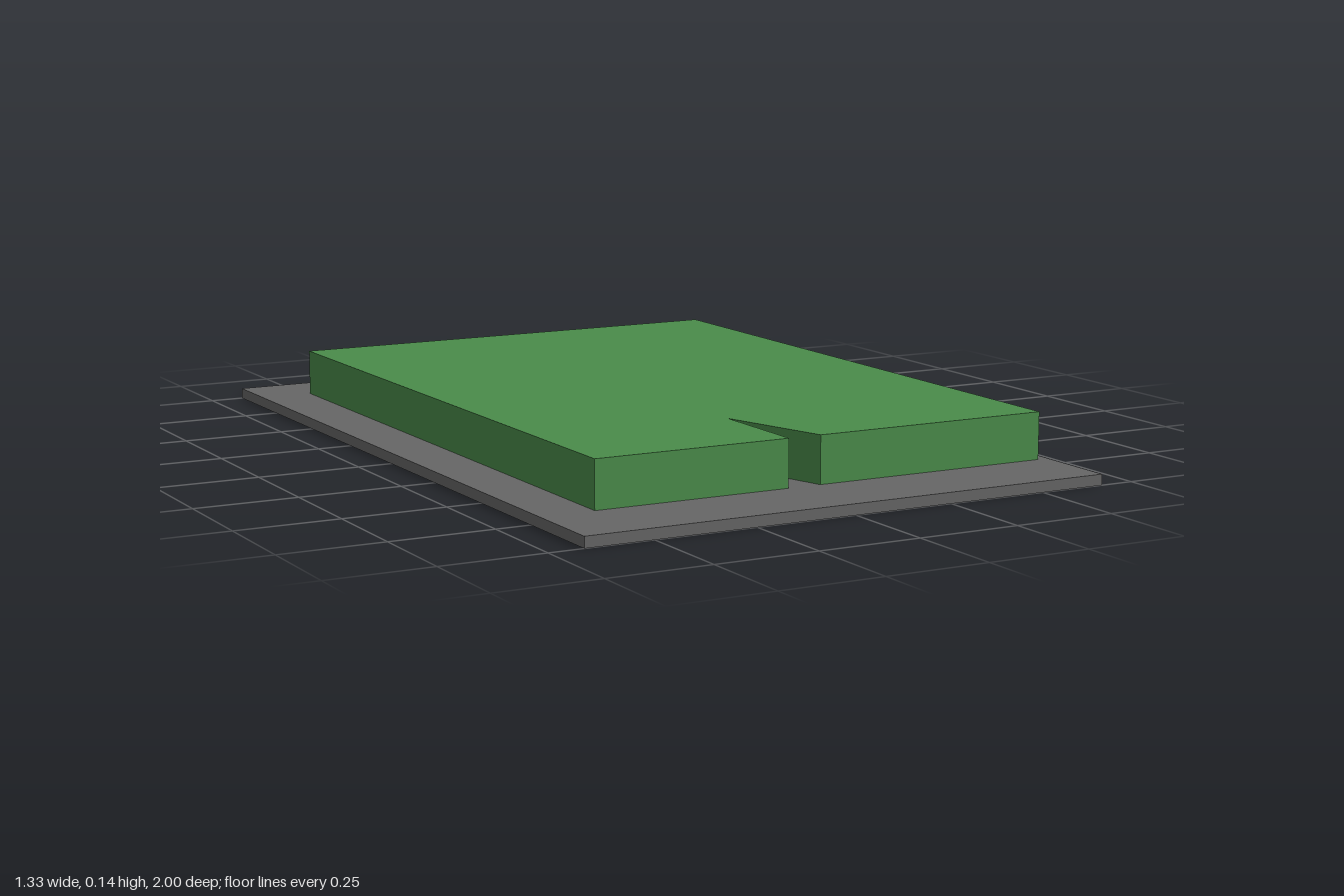
import * as THREE from 'three';

const BASE_TOP = 0.026;
const SLAB_TOP = 0.14;

export function createModel() {
  const model = new THREE.Group();
  const grey = new THREE.MeshStandardMaterial({ name: 'grey', color: 0x666666 });
  const green = new THREE.MeshStandardMaterial({ name: 'green', color: 0x4a8c4a });

  // Thin base plate
  const base = new THREE.Mesh(new THREE.BoxGeometry(1.332, BASE_TOP, 2), grey);
  base.name = 'basePlate';
  base.position.y = BASE_TOP / 2;
  model.add(base);

  // Raised slab with a wedge-shaped notch in its front edge, outlined as [x, z]
  const outline = [
    [-0.534, 0.793], [-0.046, 0.793], [-0.046, 0.52], [0.037, 0.793],
    [0.638, 0.793], [0.638, -0.842], [-0.534, -0.842],
  ];
  const shape = new THREE.Shape(outline.map(([x, z]) => new THREE.Vector2(x, -z)));
  const slabGeometry = new THREE.ExtrudeGeometry(shape, {
    depth: SLAB_TOP - BASE_TOP,
    bevelEnabled: false,
  });
  slabGeometry.rotateX(-Math.PI / 2);
  const slab = new THREE.Mesh(slabGeometry, green);
  slab.name = 'notchedSlab';
  slab.position.y = BASE_TOP;
  model.add(slab);

  return model;
}
